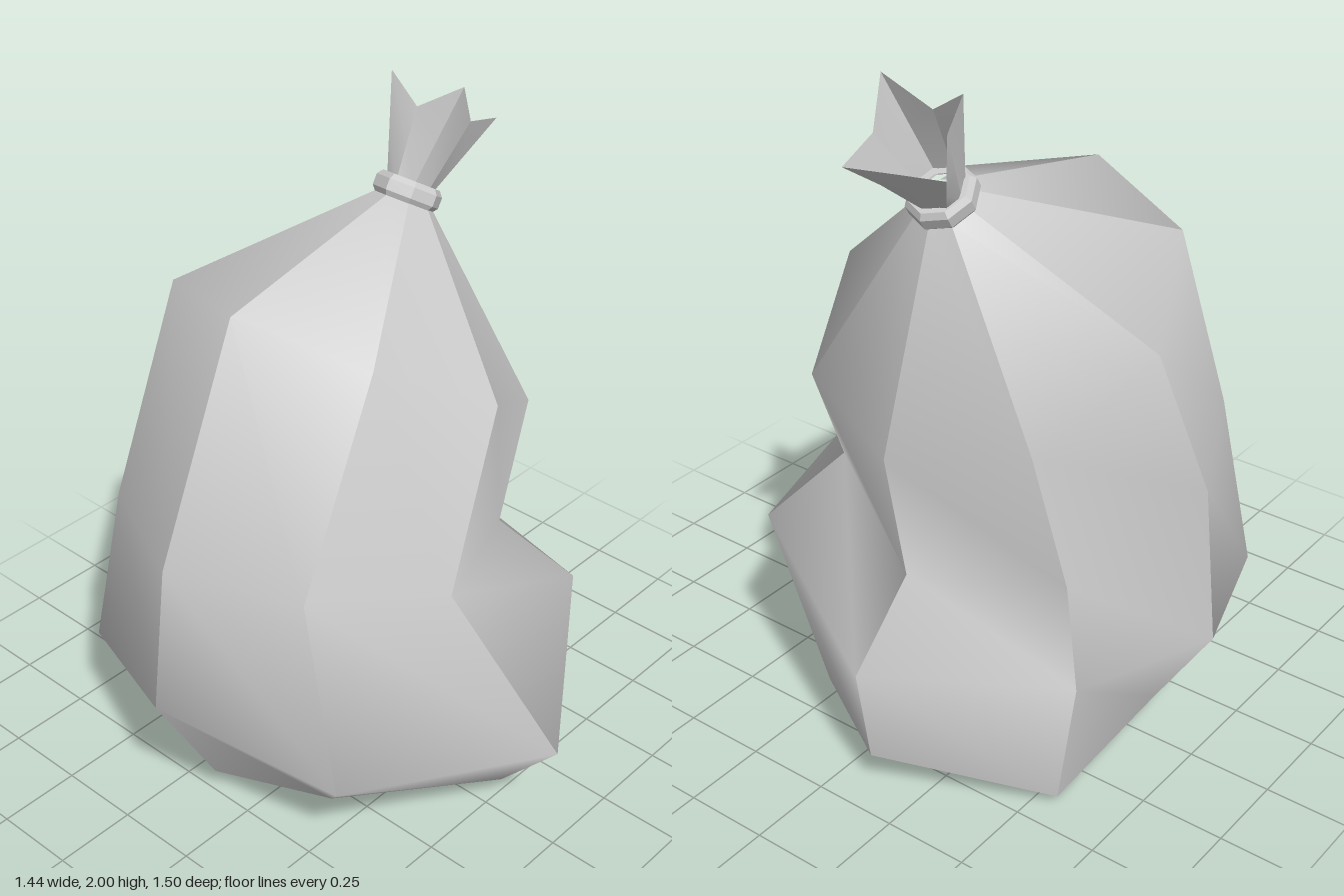
import * as THREE from 'three';

const grey = new THREE.MeshStandardMaterial({ color: 0xcccccc });
const greyThin = new THREE.MeshStandardMaterial({ color: 0xcccccc, side: THREE.DoubleSide });

// Direction of the leaning neck, and the direction across it
const axis = new THREE.Vector3(0.53, 0.85, 0).normalize();
const across = new THREE.Vector3(axis.y, -axis.x, 0);

// One of eight points on a ring around the neck, starting at +x and turning to +z
function neckPoint(k, centre, radius) {
  const a = (k * Math.PI) / 4;
  return [
    centre[0] + across.x * Math.cos(a) * radius,
    centre[1] + across.y * Math.cos(a) * radius,
    centre[2] + Math.sin(a) * radius,
  ];
}

// Panels between neighbouring columns: smooth down each panel, sharp at the seams
function panels(columns, material, name) {
  const pos = [], idx = [];
  columns.forEach((col, k) => {
    const next = columns[(k + 1) % columns.length];
    const start = pos.length / 3;
    col.forEach((p, i) => pos.push(...p, ...next[i]));
    for (let i = 0; i < col.length - 1; i++) {
      const a = start + i * 2;
      idx.push(a, a + 1, a + 2, a + 1, a + 3, a + 2);
    }
  });
  const g = new THREE.BufferGeometry();
  g.setAttribute('position', new THREE.Float32BufferAttribute(pos, 3));
  g.setIndex(idx);
  g.computeVertexNormals();
  const mesh = new THREE.Mesh(g, material);
  mesh.name = name;
  return mesh;
}

// Seam columns of the sack, shoulder to base, from +x round through +z
const seams = [
  [[0.58, 1.03, -0.12], [0.50, 0.63, -0.12], [0.72, 0.42, -0.12], [0.67, 0.12, -0.12]],
  [[0.44, 1.10, 0.25], [0.29, 0.77, 0.28], [0.44, 0.57, 0.45], [0.50, 0.14, 0.18]],
  [[0.10, 1.30, 0.40], [-0.12, 0.81, 0.44], [-0.01, 0.35, 0.75], [0.03, 0.09, 0.53]],
  [[-0.23, 1.49, 0.25], [-0.49, 0.88, 0.24], [-0.51, 0.30, 0.37], [-0.35, 0.07, 0.20]],
  [[-0.37, 1.57, -0.12], [-0.66, 0.91, -0.12], [-0.72, 0.47, -0.12], [-0.51, 0.09, -0.12]],
  [[-0.23, 1.49, -0.49], [-0.46, 0.88, -0.52], [-0.51, 0.35, -0.61], [-0.27, 0.00, -0.38]],
  [[0.10, 1.30, -0.64], [-0.12, 0.80, -0.68], [-0.08, 0.36, -0.75], [-0.06, 0.09, -0.58]],
  [[0.44, 1.10, -0.49], [0.30, 0.64, -0.51], [0.39, 0.40, -0.61], [0.41, 0.03, -0.57]],
];

// Crumpled rim of the gathered top, in the same order
const rim = [
  [0.53, 1.81, -0.14], [0.61, 1.83, -0.04], [0.47, 1.87, -0.02], [0.40, 2.00, 0.01],
  [0.36, 1.92, -0.12], [0.38, 1.99, -0.23], [0.43, 1.90, -0.22], [0.51, 1.82, -0.28],
];

export function createModel() {
  const group = new THREE.Group();
  group.name = 'tiedSack';

  // Sack body, drawn in to the neck
  const neckCentre = [0.315, 1.66, -0.12];
  const columns = seams.map((s, k) => [neckPoint(k, neckCentre, 0.08), ...s]);
  group.add(panels(columns, grey, 'sackBody'));

  // Underside
  const fan = [];
  seams.forEach((s, k) => fan.push(0.05, 0.08, -0.06, ...s[3], ...seams[(k + 1) % 8][3]));
  const under = new THREE.BufferGeometry();
  under.setAttribute('position', new THREE.Float32BufferAttribute(fan, 3));
  under.computeVertexNormals();
  const underside = new THREE.Mesh(under, grey);
  underside.name = 'underside';
  group.add(underside);

  // Faceted tie around the neck
  const profile = [[0.05, -0.032], [0.085, -0.032], [0.098, -0.016], [0.098, 0.016], [0.085, 0.032], [0.05, 0.032]]
    .map(([r, y]) => new THREE.Vector2(r, y));
  const tieGeometry = new THREE.LatheGeometry(profile, 8).toNonIndexed();
  tieGeometry.computeVertexNormals();
  const tie = new THREE.Mesh(tieGeometry, grey);
  tie.name = 'tie';
  tie.position.set(0.325, 1.68, -0.12);
  tie.quaternion.setFromUnitVectors(new THREE.Vector3(0, 1, 0), axis);
  group.add(tie);

  // Flared, open end above the tie
  const root = [0.33, 1.69, -0.12];
  const flare = rim.map((p, k) => {
    const base = neckPoint(k, root, 0.065);
    const mid = base.map((b, i) => b + (p[i] - b) * 0.5);
    return [p, mid, base];
  });
  group.add(panels(flare, greyThin, 'gatheredTop'));

  return group;
}
